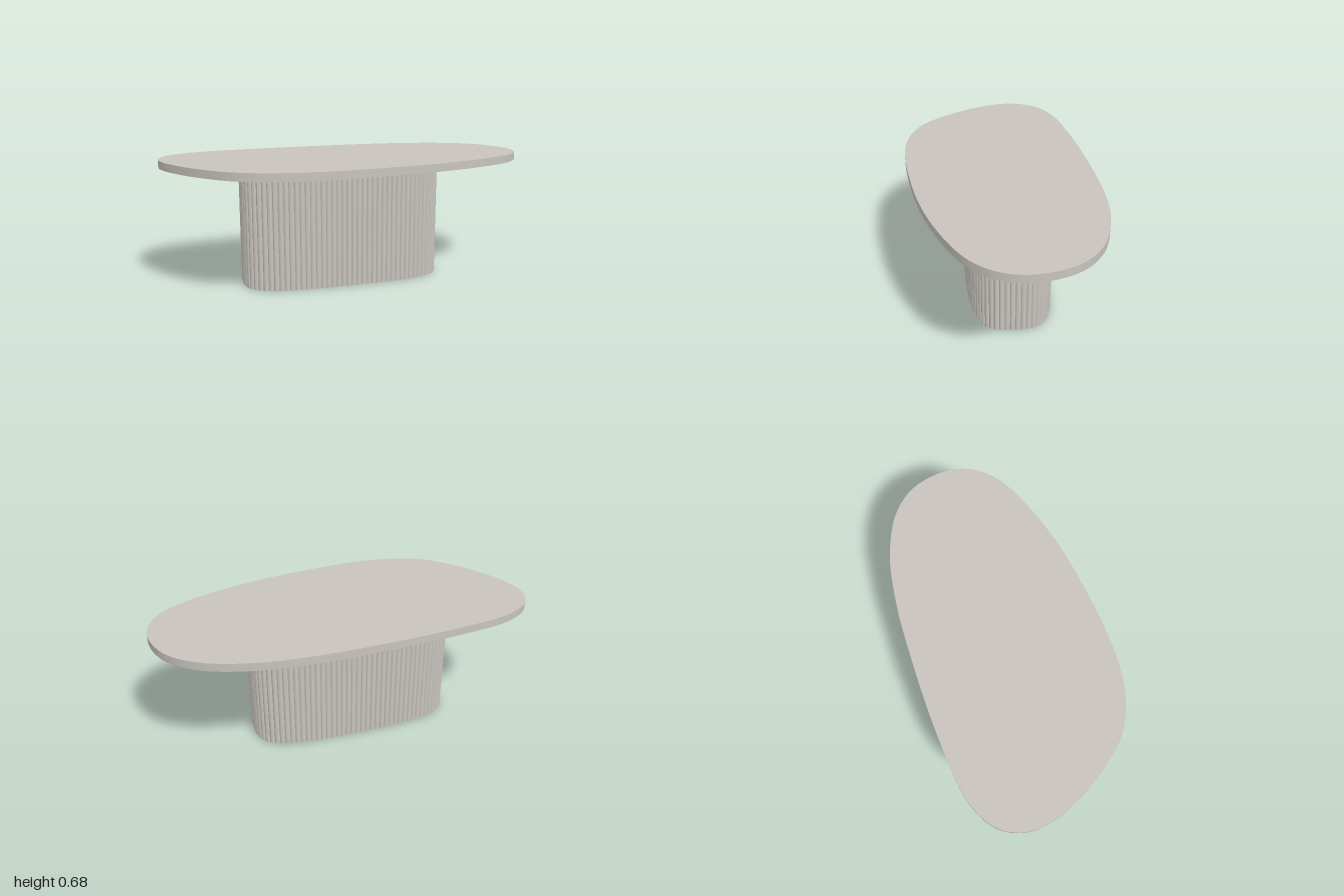
import * as THREE from 'three';
import { toCreasedNormals } from 'three/addons/utils/BufferGeometryUtils.js';

const TOP = 0.675, UNDERSIDE = 0.633;

// Upright prism from an outline in (x, z), with its upper face at topY
function prism(points, height, topY, crease) {
  const geo = new THREE.ExtrudeGeometry(new THREE.Shape(points), {
    depth: height, bevelEnabled: false, steps: 1,
  });
  geo.rotateX(Math.PI / 2);
  geo.translate(0, topY, 0);
  return toCreasedNormals(geo, crease);
}

// Evenly spaced points on a smooth closed curve through [x, z] pairs
function closedOutline(pairs, count) {
  const curve = new THREE.CatmullRomCurve3(
    pairs.map(([x, z]) => new THREE.Vector3(x, z, 0)), true, 'centripetal');
  curve.arcLengthDivisions = 1500;
  return curve.getSpacedPoints(count).slice(0, count)
    .map((p) => new THREE.Vector2(p.x, p.y));
}

// Pebble-shaped slab outline
function tabletopOutline() {
  return closedOutline([
    [-1, -0.15], [-0.95, -0.29], [-0.8, -0.392], [-0.45, -0.46], [0, -0.499],
    [0.27, -0.507], [0.55, -0.484], [0.8, -0.4], [0.94, -0.27], [1, -0.07],
    [0.973, 0.07], [0.89, 0.18], [0.75, 0.27], [0.42, 0.395], [0, 0.478],
    [-0.3, 0.503], [-0.51, 0.478], [-0.67, 0.41], [-0.8, 0.285],
    [-0.905, 0.135], [-0.975, -0.01],
  ], 160);
}

// Rounded oblong ringed with convex flutes
function fluteOutline() {
  const flutes = 96, segments = 8, halfAngle = 1.08, depth = 0.009;
  const a = 0.553 - depth, b = 0.23 - depth, power = 2 / 3.4;
  const bend = (v) => Math.sign(v) * Math.abs(v) ** power;
  const pairs = [];
  for (let i = 0; i < 96; i++) {
    const t = (i / 96) * Math.PI * 2;
    const x = a * bend(Math.cos(t));
    pairs.push([x - 0.04, b * bend(Math.sin(t)) - 0.02 * x - 0.035]);
  }
  const grooves = closedOutline(pairs, flutes);
  const out = [];
  grooves.forEach((p, i) => {
    const q = grooves[(i + 1) % flutes];
    const along = q.clone().sub(p);
    const radius = along.length() / 2 / Math.sin(halfAngle);
    along.normalize();
    const outward = new THREE.Vector2(along.y, -along.x);
    const middle = p.clone().add(q).multiplyScalar(0.5);
    for (let s = 0; s < segments; s++) {
      const angle = (2 * s / segments - 1) * halfAngle;
      out.push(middle.clone()
        .addScaledVector(along, radius * Math.sin(angle))
        .addScaledVector(outward, radius * (Math.cos(angle) - Math.cos(halfAngle))));
    }
  });
  return out;
}

export function createModel() {
  const stone = new THREE.MeshStandardMaterial({ color: 0xc8c3bd });
  stone.name = 'warm grey stone';

  const tabletop = new THREE.Mesh(
    prism(tabletopOutline(), TOP - UNDERSIDE, TOP, 0.6), stone);
  tabletop.name = 'tabletop';

  const base = new THREE.Mesh(
    prism(fluteOutline(), UNDERSIDE, UNDERSIDE, 0.5), stone);
  base.name = 'flutedBase';

  const table = new THREE.Group();
  table.name = 'table';
  table.add(tabletop, base);
  return table;
}
